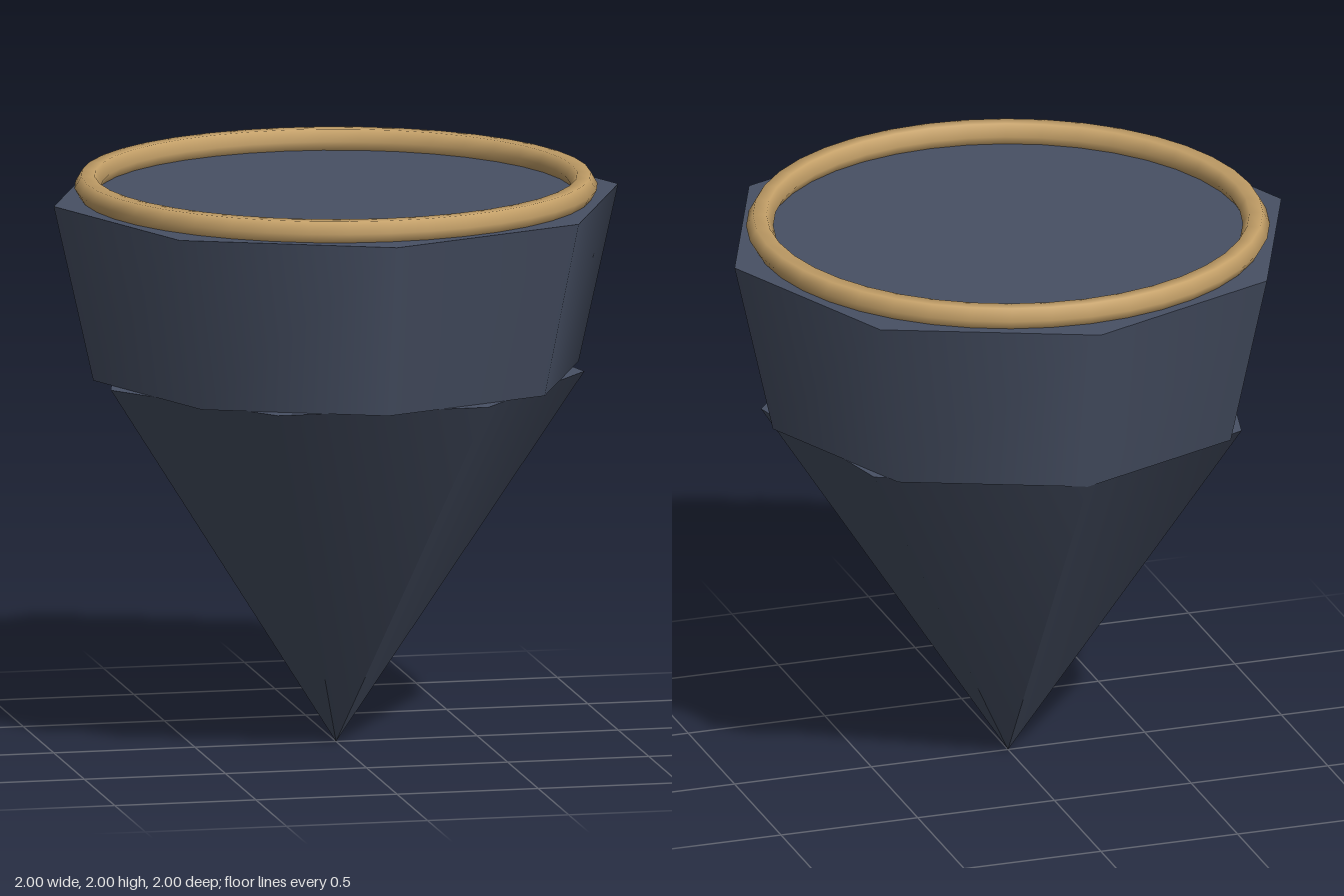
import * as THREE from 'three';

export function createModel() {
  const model = new THREE.Group();
  const slate = new THREE.MeshStandardMaterial({ name: 'slate blue', color: 0x475064 });
  const gold = new THREE.MeshStandardMaterial({ name: 'dull gold', color: 0xc4a068 });

  const seam = 1.307; // height where the point meets the drum
  const deck = 1.926; // flat top of the drum

  const add = (name, geometry, material, y) => {
    const mesh = new THREE.Mesh(geometry, material);
    mesh.name = name;
    mesh.position.y = y;
    model.add(mesh);
    return mesh;
  };

  // Eight-sided drum, tapering downwards
  add('drum', new THREE.CylinderGeometry(1, 0.86, deck - seam, 8), slate, (deck + seam) / 2);

  // Seven-sided point, turned upside down
  const point = add('point', new THREE.ConeGeometry(0.86, seam, 7), slate, seam / 2);
  point.rotation.x = Math.PI;

  // Six-sided ring lying on the top
  const ring = add('rimRing', new THREE.TorusGeometry(0.86, 0.047, 6, 40), gold, 1.959);
  ring.rotation.x = Math.PI / 2;

  return model;
}
